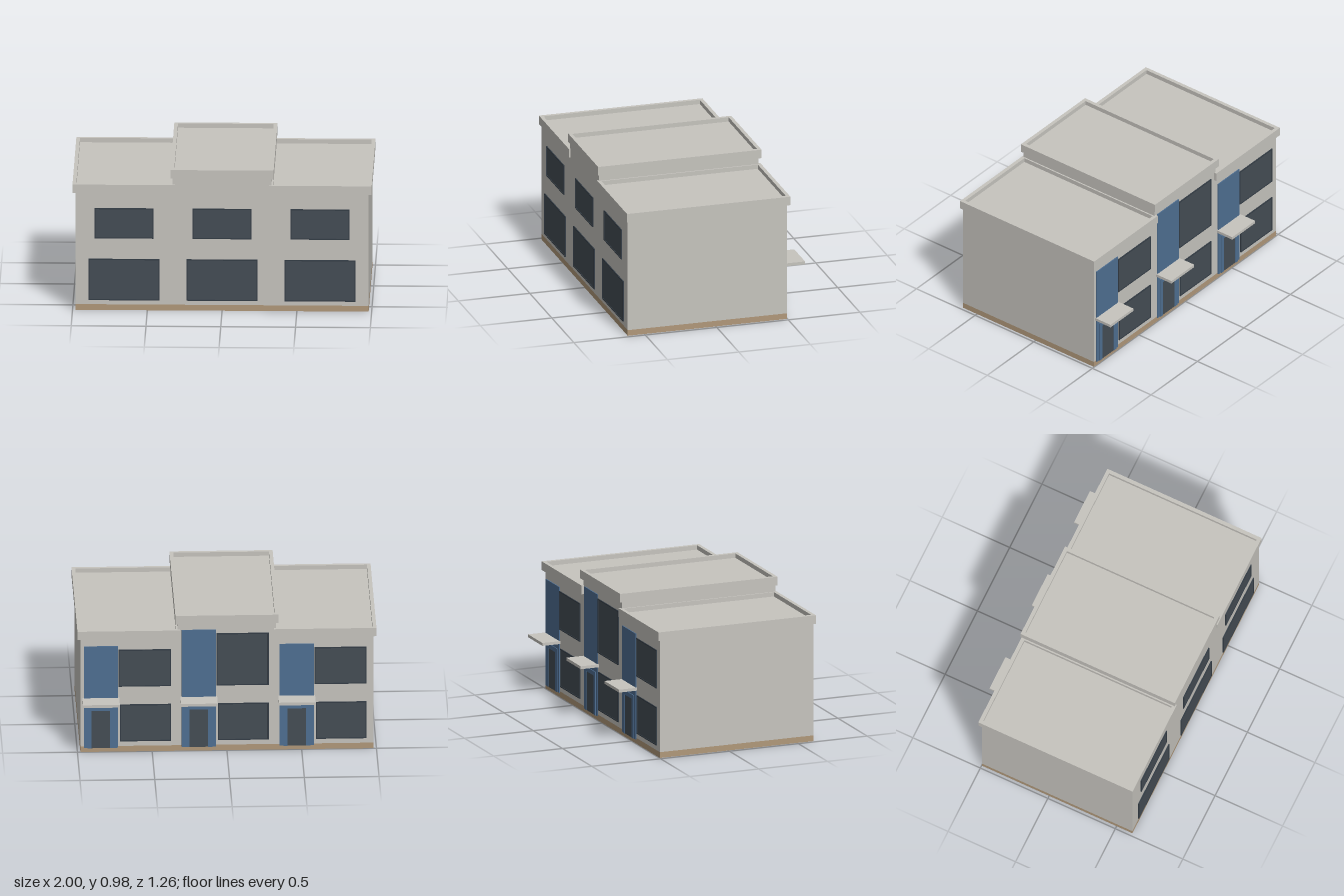
import * as THREE from 'three';

const mat = (name, color) => {
  const m = new THREE.MeshStandardMaterial({ color });
  m.name = name;
  return m;
};

export function createModel() {
  const wall = mat('wall grey', 0xc6c4be);
  const plinth = mat('plinth tan', 0xb0987a);
  const glass = mat('dark glass', 0x454d55);
  const frame = mat('dark frame', 0x343d46);
  const blue = mat('blue panel', 0x4f6f92);

  const BACK = -0.497, FRONT = 0.617, BAY = 0.655;
  const model = new THREE.Group();
  model.name = 'building';

  // Box given by its minimum and maximum corners
  function box(name, material, x0, x1, y0, y1, z0, z1, parent = model) {
    const mesh = new THREE.Mesh(new THREE.BoxGeometry(x1 - x0, y1 - y0, z1 - z0), material);
    mesh.position.set((x0 + x1) / 2, (y0 + y1) / 2, (z0 + z1) / 2);
    mesh.name = name;
    parent.add(mesh);
    return mesh;
  }

  const rect = (P, x0, x1, y0, y1) => {
    const p = new P();
    p.moveTo(x0, y0).lineTo(x1, y0).lineTo(x1, y1).lineTo(x0, y1).closePath();
    return p;
  };

  // Rectangular ring extruded along z
  function ring(x0, x1, y0, y1, t, depth) {
    const s = rect(THREE.Shape, x0, x1, y0, y1);
    s.holes.push(rect(THREE.Path, x0 + t, x1 - t, y0 + t, y1 - t));
    return new THREE.ExtrudeGeometry(s, { depth, bevelEnabled: false });
  }

  // Parapet band around a flat roof
  function parapet(name, x0, x1, y0, y1) {
    const geo = ring(x0, x1, -0.628, 0.515, 0.025, y1 - y0);
    geo.rotateX(-Math.PI / 2);
    const mesh = new THREE.Mesh(geo, wall);
    mesh.position.y = y0;
    mesh.name = name;
    model.add(mesh);
  }

  // Thin framed window on the front (+1) or back (-1) wall
  function windowUnit(name, side, x0, x1, y0, y1) {
    const g = new THREE.Group();
    g.name = name;
    const z = side > 0 ? FRONT : BACK;
    const pane = [z, z + side * 0.003].sort((a, b) => a - b);
    box('pane', glass, x0 + 0.004, x1 - 0.004, y0 + 0.004, y1 - 0.004, pane[0], pane[1], g);
    const rim = new THREE.Mesh(ring(x0, x1, y0, y1, 0.007, 0.007), frame);
    rim.position.z = side > 0 ? z : z - 0.007;
    rim.name = 'rim';
    g.add(rim);
    model.add(g);
  }

  // Plinth and the three wall blocks; the middle one is taller
  box('plinth', plinth, -0.98, 0.98, 0, 0.04, BACK, FRONT);
  box('rightBlock', wall, -0.98, -0.33, 0.04, 0.845, BACK, FRONT);
  box('leftBlock', wall, 0.33, 0.98, 0.04, 0.845, BACK, FRONT);
  box('middleBlock', wall, -0.33, 0.33, 0.04, 0.95, BACK, FRONT);

  parapet('rightParapet', -1, -0.315, 0.815, 0.875);
  parapet('leftParapet', 0.315, 1, 0.815, 0.875);
  parapet('middleParapet', -0.345, 0.345, 0.92, 0.98);

  for (const i of [-1, 0, 1]) {
    const c = i * BAY;
    const rise = i === 0 ? 0.11 : 0;

    // Front windows
    windowUnit('frontUpperWindow', 1, c - 0.198, c + 0.198, 0.5, 0.71);
    windowUnit('frontLowerWindow', 1, c - 0.237, c + 0.237, 0.07, 0.357);

    // Back windows
    windowUnit('backUpperWindow', -1, c - 0.28, c + 0.07, 0.47, 0.735 + rise);
    windowUnit('backLowerWindow', -1, c - 0.28, c + 0.06, 0.075, 0.34);

    // Entrance: tall panel, door surround, door and canopy
    const d = c + 0.188;
    box('entrancePanel', blue, d - 0.114, d + 0.114, 0.03, 0.762 + rise, BACK - 0.007, BACK);
    const surround = new THREE.Shape();
    surround.moveTo(d - 0.09, 0.03).lineTo(d - 0.062, 0.03).lineTo(d - 0.062, 0.3)
      .lineTo(d + 0.062, 0.3).lineTo(d + 0.062, 0.03).lineTo(d + 0.09, 0.03)
      .lineTo(d + 0.09, 0.33).lineTo(d - 0.09, 0.33).closePath();
    const trim = new THREE.Mesh(
      new THREE.ExtrudeGeometry(surround, { depth: 0.006, bevelEnabled: false }), blue);
    trim.position.z = BACK - 0.013;
    trim.name = 'doorSurround';
    model.add(trim);
    box('door', glass, d - 0.062, d + 0.062, 0.03, 0.3, BACK - 0.01, BACK - 0.007);
    box('canopy', wall, d - 0.123, d + 0.123, 0.37, 0.39, -0.628, BACK);
  }

  return model;
}
